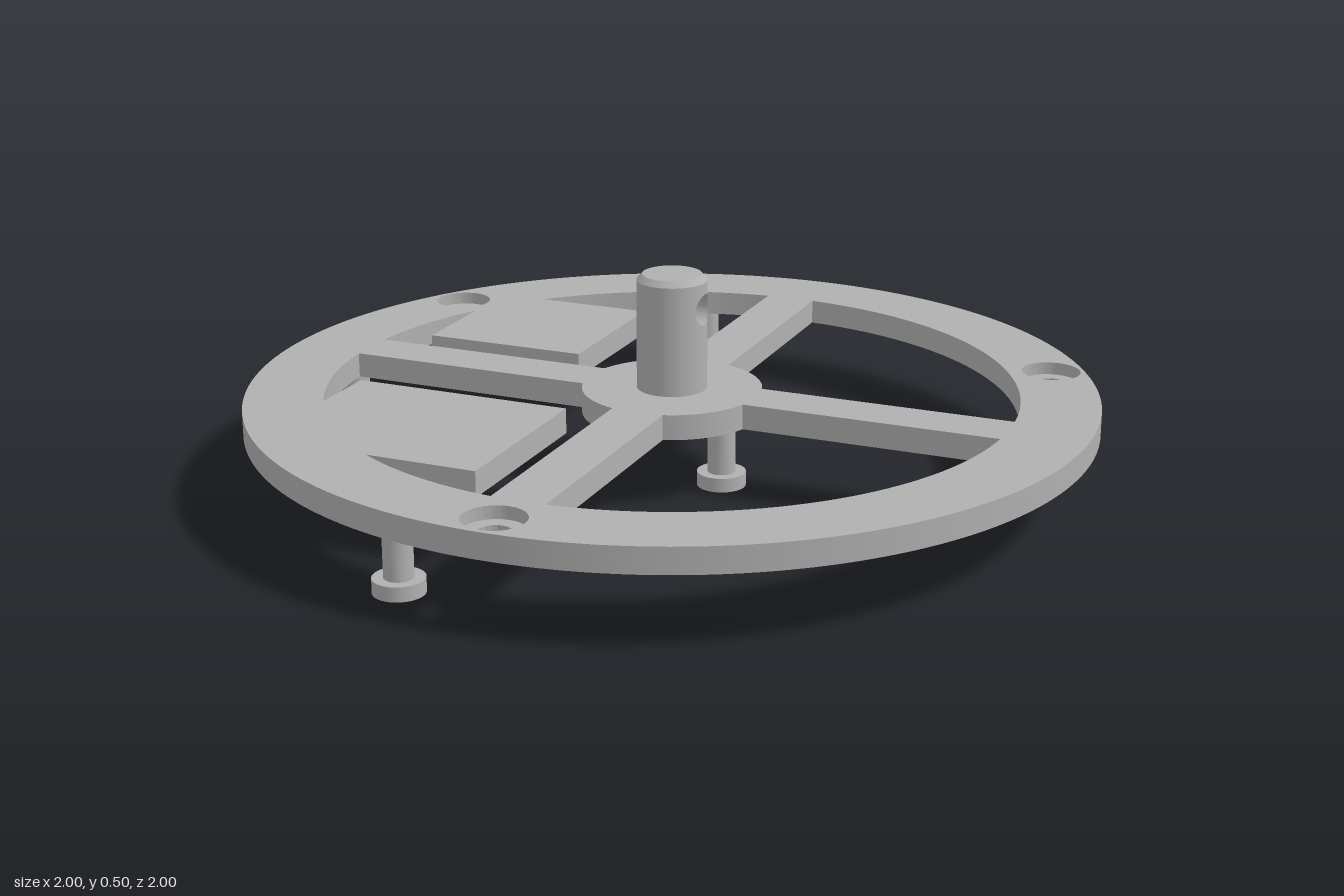
import * as THREE from 'three';
import { toCreasedNormals } from 'three/addons/utils/BufferGeometryUtils.js';
import { ParametricGeometry } from 'three/addons/geometries/ParametricGeometry.js';

const BOTTOM = 0.168, TOP = 0.228;            // plate faces
const RIM = 0.815, HUB = 0.213, SPOKE = 0.063; // inner rim, hub radius, half spoke width
const POST_R = 0.083, POST_TOP = 0.49, HOLE_R = 0.037, HOLE_Y = 0.425;

function arc(r, from, to, n) {
  const pts = [];
  for (let i = 0; i <= n; i++) {
    const a = from + (to - from) * i / n;
    pts.push([r * Math.cos(a), r * Math.sin(a)]);
  }
  return pts;
}

// Opening between two spokes; pad [x0, x1, y0, y1] is a solid block left standing at the rim
function windowPath(sx, sy, pad) {
  const hubA = Math.asin(SPOKE / HUB), rimA = Math.asin(SPOKE / RIM);
  const pts = arc(HUB, hubA, Math.PI / 2 - hubA, 12);
  if (pad) {
    const [x0, x1, y0, y1] = pad;
    pts.push(...arc(RIM, Math.PI / 2 - rimA, Math.asin(y1 / RIM), 20),
      [x0, y1], [x0, y0], [x1, y0],
      ...arc(RIM, Math.acos(x1 / RIM), rimA, 20));
  } else {
    pts.push(...arc(RIM, Math.PI / 2 - rimA, rimA, 36));
  }
  return new THREE.Path(pts.map(([x, y]) => new THREE.Vector2(x * sx, y * sy)));
}

function disc(Type, x, y, r) {
  const p = new Type();
  p.absarc(x, y, r, 0, Math.PI * 2, false);
  return p;
}

// Shape drawn in plan (x, -z), raised from y0 to y1
function slab(shape, y0, y1, segments) {
  const g = new THREE.ExtrudeGeometry(shape, { depth: y1 - y0, bevelEnabled: false, curveSegments: segments });
  g.rotateX(-Math.PI / 2);
  g.translate(0, y0, 0);
  return toCreasedNormals(g, 0.5);
}

export function createModel() {
  const model = new THREE.Group();
  model.name = 'spokedBase';
  const grey = new THREE.MeshStandardMaterial({ color: 0xb0b0b0 });
  grey.name = 'grey';

  const add = (name, geometry, x = 0, y = 0, z = 0, parent = model) => {
    const mesh = new THREE.Mesh(geometry, grey);
    mesh.name = name;
    mesh.position.set(x, y, z);
    parent.add(mesh);
    return mesh;
  };

  // Wheel plate with four openings, two equipment pads and three screw holes
  const plate = disc(THREE.Shape, 0, 0, 1);
  plate.holes.push(
    windowPath(1, 1), windowPath(1, -1),
    windowPath(-1, 1, [0.31, 0.72, 0.142, 0.548]),
    windowPath(-1, -1, [0.16, 0.70, 0.246, 0.695]));
  const screws = [[0, -0.92], [0.797, 0.46], [-0.797, 0.46]];
  for (const [x, y] of screws) plate.holes.push(disc(THREE.Path, x, y, 0.07));
  add('wheelPlate', slab(plate, BOTTOM, TOP, 128));

  // Ledges inside the counterbored screw holes
  const ledge = disc(THREE.Shape, 0, 0, 0.07);
  ledge.holes.push(disc(THREE.Path, 0, 0, 0.037));
  const ledgeGeometry = slab(ledge, BOTTOM, 0.198, 128);
  for (const [x, y] of screws) add('screwLedge', ledgeGeometry, x, 0, -y);

  // Feet: a thin stem on a wider round head
  const stem = new THREE.CylinderGeometry(0.033, 0.033, BOTTOM - 0.034, 32);
  const head = new THREE.CylinderGeometry(0.058, 0.058, 0.034, 32);
  for (const [x, z] of [[-0.86, 0], [0.127, 0], [-0.26, 0.86], [-0.26, -0.86]]) {
    const foot = new THREE.Group();
    foot.name = 'foot';
    foot.position.set(x, 0, z);
    add('footStem', stem, 0, (BOTTOM + 0.034) / 2, 0, foot);
    add('footHead', head, 0, 0.017, 0, foot);
    model.add(foot);
  }

  // Post wall: each half spreads from the cross hole out to a half cylinder's border
  const post = new THREE.Group();
  post.name = 'post';
  model.add(post);
  const wall = new ParametricGeometry((u, v, p) => {
    const c = Math.cos(u * Math.PI * 2), s = Math.sin(u * Math.PI * 2);
    const m = Math.max(Math.abs(c), Math.abs(s));
    const edgeY = HOLE_Y + (s / m) * (s > 0 ? POST_TOP - HOLE_Y : HOLE_Y - TOP);
    const a = THREE.MathUtils.lerp(Math.asin(HOLE_R * c / POST_R), (c / m) * Math.PI / 2, v);
    const y = THREE.MathUtils.lerp(HOLE_Y + HOLE_R * s, edgeY, v);
    p.set(POST_R * Math.cos(a), y, POST_R * Math.sin(a));
  }, 96, 10);
  add('postWall', wall, 0, 0, 0, post);
  add('postWall', wall, 0, 0, 0, post).rotation.y = Math.PI;

  // Cross hole lining
  add('crossHole', new ParametricGeometry((u, v, p) => {
    const t = u * Math.PI * 2, z = HOLE_R * Math.cos(t);
    p.set((2 * v - 1) * Math.sqrt(POST_R ** 2 - z * z), HOLE_Y + HOLE_R * Math.sin(t), z);
  }, 96, 2), 0, 0, 0, post);

  // Chamfered top
  add('postCap', new THREE.CylinderGeometry(0.07, POST_R, 0.014, 64), 0, POST_TOP + 0.007, 0, post);
  return model;
}
